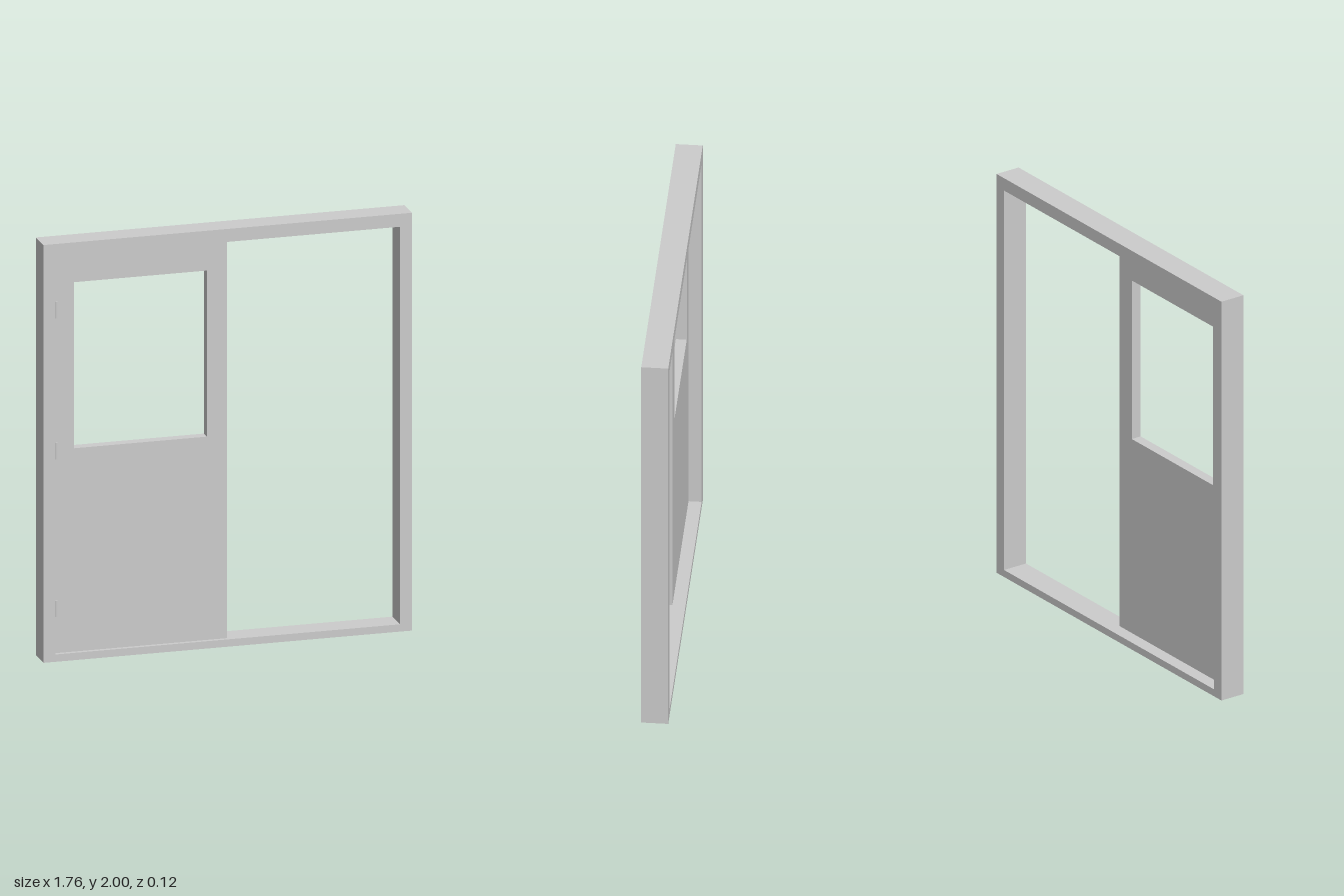
import * as THREE from 'three';

const W = 0.88, H = 2, D = 0.062;            // half width, height, half depth
const IN = 0.822, TOP = 1.938, SILL = 0.035; // clear opening

export function createModel() {
  const group = new THREE.Group();
  const material = new THREE.MeshStandardMaterial({ color: 0xcccccc });

  const add = (name, geometry) => {
    const mesh = new THREE.Mesh(geometry, material);
    mesh.name = name;
    group.add(mesh);
    return mesh;
  };
  // Box given by its limits on each axis
  const box = (name, x0, x1, y0, y1, z0, z1) =>
    add(name, new THREE.BoxGeometry(x1 - x0, y1 - y0, z1 - z0))
      .position.set((x0 + x1) / 2, (y0 + y1) / 2, (z0 + z1) / 2);
  // Closed outline from corner pairs
  const outline = (target, points) =>
    target.setFromPoints(points.map(([x, y]) => new THREE.Vector2(x, y)));

  // Jambs and head in one piece
  const frame = outline(new THREE.Shape(), [
    [-W, 0], [-IN, 0], [-IN, TOP], [IN, TOP], [IN, 0], [W, 0], [W, H], [-W, H],
  ]);
  add('frame', new THREE.ExtrudeGeometry(frame, { depth: 2 * D, bevelEnabled: false }))
    .position.z = -D;

  // Hollow sill, open underneath
  const t = 0.004;
  box('sillTop', -IN, IN, SILL - t, SILL, -D, D);
  box('sillFront', -IN, IN, 0, SILL - t, D - t, D);
  box('sillBack', -IN, IN, 0, SILL - t, -D, -D + t);

  // Door leaf with a window opening, set towards the front
  const leaf = outline(new THREE.Shape(), [
    [-IN + 0.002, SILL + 0.002], [0, SILL + 0.002], [0, TOP - 0.002], [-IN + 0.002, TOP - 0.002],
  ]);
  leaf.holes.push(outline(new THREE.Path(), [
    [-0.73, 1.01], [-0.73, 1.805], [-0.095, 1.805], [-0.095, 1.01],
  ]));
  add('doorLeaf', new THREE.ExtrudeGeometry(leaf, { depth: 0.05, bevelEnabled: false }))
    .position.z = -0.002;

  // Hinge knuckles
  for (const y of [0.25, 1.005, 1.68]) {
    add('hinge', new THREE.CylinderGeometry(0.006, 0.006, 0.078, 12))
      .position.set(-0.815, y, 0.05);
  }
  return group;
}
